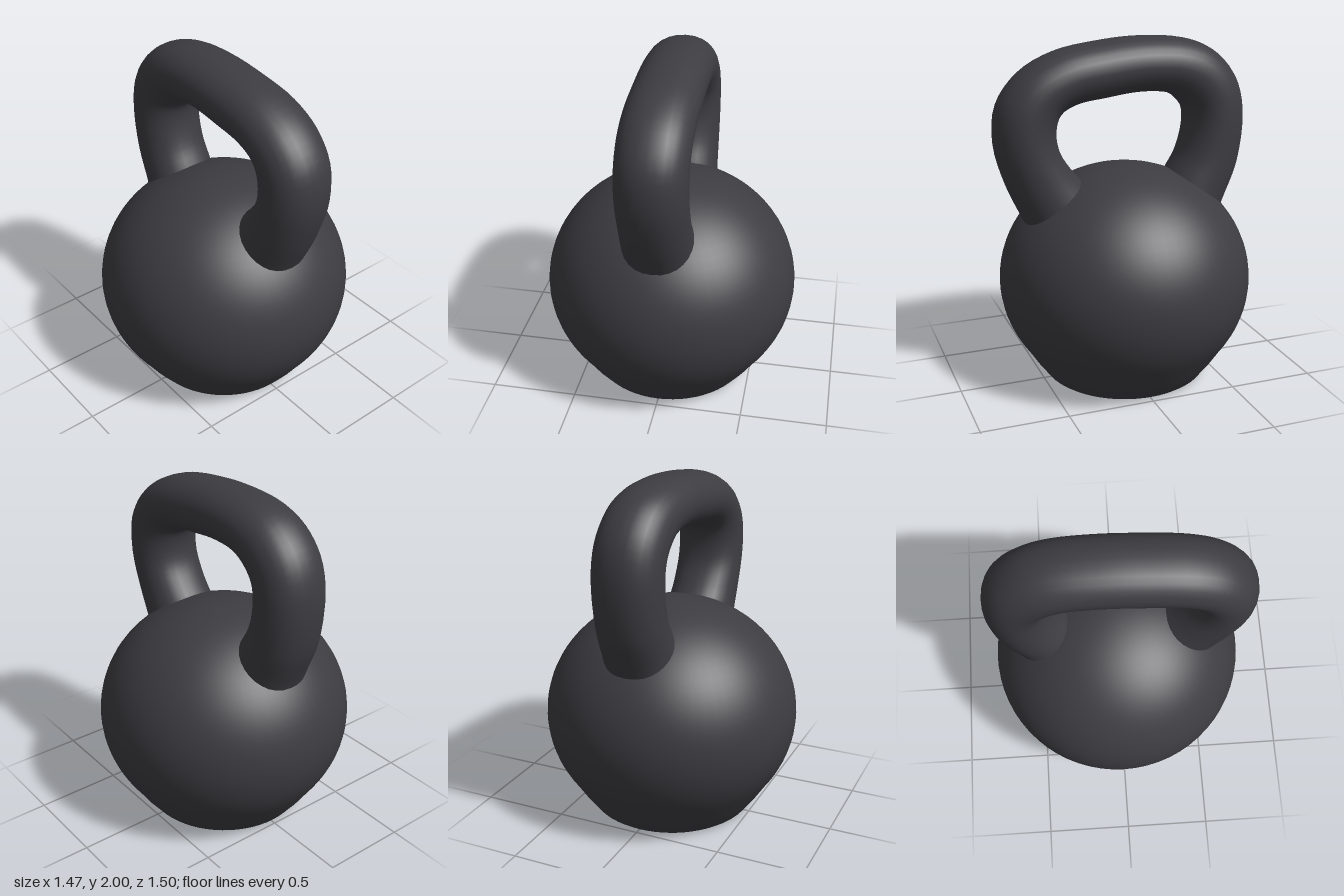
import * as THREE from 'three';
import { toCreasedNormals } from 'three/addons/utils/BufferGeometryUtils.js';

const iron = new THREE.MeshStandardMaterial({ color: 0x3d3c41 });
iron.name = 'dark iron';

// Curve in the z-y plane through [z, y] pairs
const sideCurve = (pts) => new THREE.CatmullRomCurve3(pts.map(([z, y]) => new THREE.Vector3(0, y, z)));

// Closed oval rings spanning from an inner to an outer curve
function loopHandle(outer, inner, halfWidth, steps, sides) {
  const pos = [], index = [];
  for (let i = 0; i <= steps; i++) {
    const t = i / steps;
    const o = outer.getPoint(t), n = inner.getPoint(t);
    const mid = o.clone().add(n).multiplyScalar(0.5);
    const half = o.sub(n).multiplyScalar(0.5);
    // slight flare where the handle meets the ball
    const end = Math.max(0, 1 - Math.min(t, 1 - t) / 0.15);
    const w = halfWidth + 0.02 * end * end;
    for (let j = 0; j < sides; j++) {
      const a = (j / sides) * Math.PI * 2;
      const c = Math.cos(a), s = Math.sin(a);
      const k = Math.sign(c) * Math.pow(Math.abs(c), 0.9);
      pos.push(k * w, mid.y + half.y * s, mid.z + half.z * s);
      if (i < steps) {
        const p = i * sides + j, q = i * sides + (j + 1) % sides;
        index.push(p, p + sides, q, q, p + sides, q + sides);
      }
    }
  }
  const g = new THREE.BufferGeometry();
  g.setAttribute('position', new THREE.Float32BufferAttribute(pos, 3));
  g.setIndex(index);
  g.computeVertexNormals();
  return g;
}

export function createModel() {
  const model = new THREE.Group();
  model.name = 'kettlebell';

  // Ball with a tapered, flat foot
  const profile = [[0, 0], [0.45, 0], [0.475, 0.018], [0.545, 0.11]].map(([x, y]) => new THREE.Vector2(x, y));
  for (let i = 0; i <= 28; i++) {
    const a = THREE.MathUtils.lerp(-0.61, Math.PI / 2, i / 28);
    profile.push(new THREE.Vector2(Math.max(0, 0.737 * Math.cos(a)), 0.59 + 0.68 * Math.sin(a)));
  }
  const ball = new THREE.Mesh(toCreasedNormals(new THREE.LatheGeometry(profile, 64), 0.5), iron);
  ball.name = 'ball';
  ball.position.z = -0.01;
  model.add(ball);

  // Handle loop, outer and inner outline from front to back
  const outer = sideCurve([
    [0.53, 0.86], [0.605, 1.01], [0.69, 1.2], [0.752, 1.44], [0.73, 1.66], [0.6, 1.83], [0.4, 1.935],
    [0.15, 1.982], [-0.1, 2.0], [-0.36, 1.98], [-0.53, 1.915], [-0.67, 1.77], [-0.73, 1.56],
    [-0.7, 1.24], [-0.61, 1.01], [-0.56, 0.86],
  ]);
  const inner = sideCurve([
    [0.17, 1.07], [0.235, 1.18], [0.31, 1.265], [0.385, 1.38], [0.405, 1.5], [0.38, 1.59], [0.29, 1.64],
    [0.12, 1.667], [-0.1, 1.69], [-0.27, 1.67], [-0.34, 1.62], [-0.38, 1.56], [-0.385, 1.47],
    [-0.345, 1.32], [-0.275, 1.2], [-0.21, 1.07],
  ]);
  const handle = new THREE.Mesh(loopHandle(outer, inner, 0.196, 60, 28), iron);
  handle.name = 'handle';
  model.add(handle);

  return model;
}
